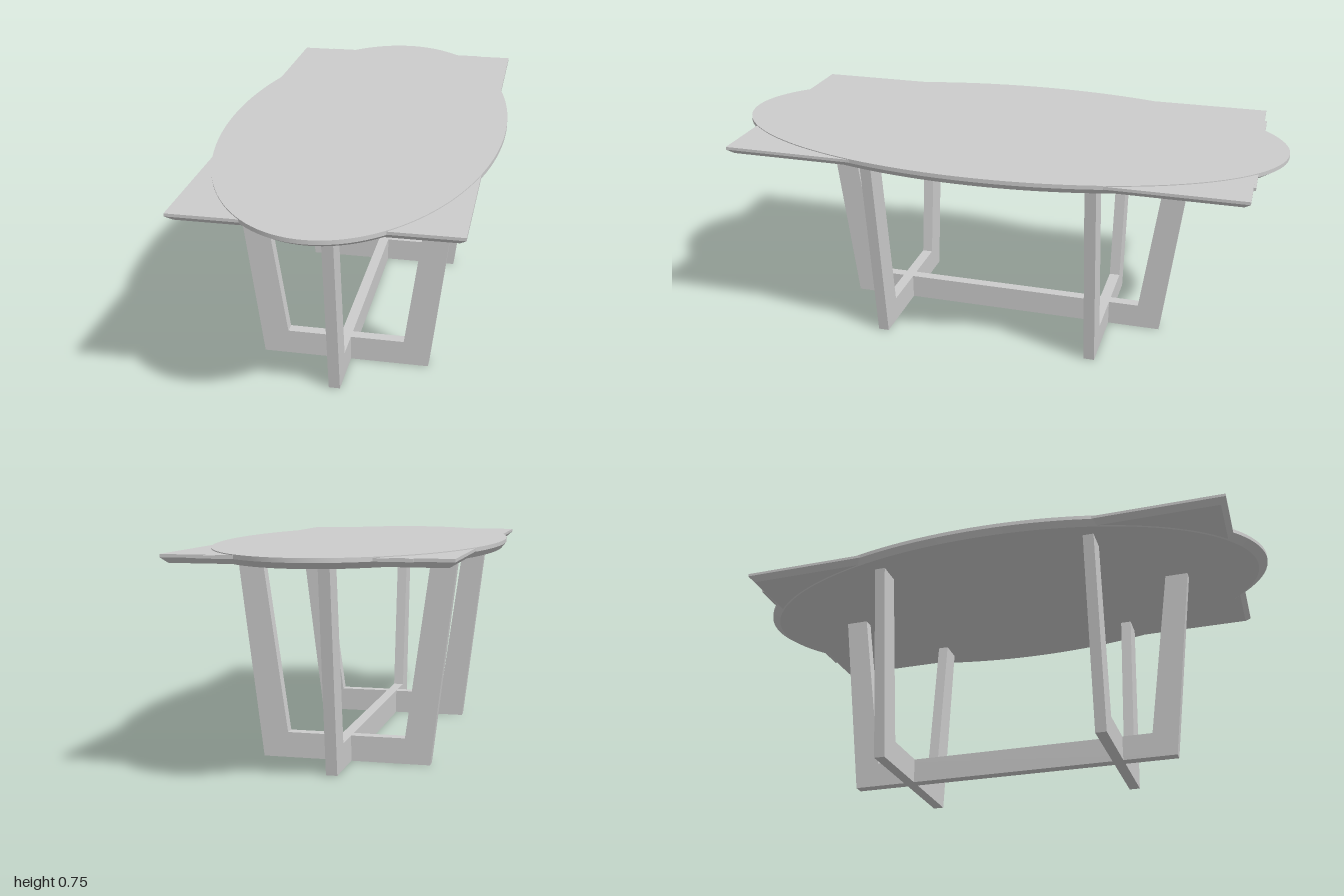
import * as THREE from 'three';
import { toCreasedNormals } from 'three/addons/utils/BufferGeometryUtils.js';

const material = new THREE.MeshStandardMaterial({ color: 0xcccccc });

function addMesh(parent, name, geometry) {
  const mesh = new THREE.Mesh(geometry, material);
  mesh.name = name;
  parent.add(mesh);
  return mesh;
}

// Open trapezoid frame: two splayed legs joined by a floor rail, centred on its thickness
function frameGeometry(foot, head, width, thickness) {
  const top = 0.72, rail = 0.09;
  const shape = new THREE.Shape([
    [-foot, 0], [foot, 0], [head, top], [head - width, top],
    [foot - width, rail], [width - foot, rail], [width - head, top], [-head, top],
  ].map(([x, y]) => new THREE.Vector2(x, y)));
  return new THREE.ExtrudeGeometry(shape, { depth: thickness, bevelEnabled: false })
    .translate(0, 0, -thickness / 2);
}

// Oval slab with an undercut edge
function ovalTopGeometry() {
  const profile = [[0, 0.716], [0.967, 0.716], [1, 0.736], [1, 0.75], [0, 0.75]]
    .map(([r, y]) => new THREE.Vector2(r, y));
  const geometry = new THREE.LatheGeometry(profile, 128).scale(0.5, 1, 1);
  return toCreasedNormals(geometry, 0.4);
}

// Rectangular slab whose lower edge is drawn inwards
function leafGeometry() {
  const geometry = new THREE.BoxGeometry(0.9, 0.028, 1.796, 1, 2, 1);
  const p = geometry.attributes.position;
  for (let i = 0; i < p.count; i++) {
    if (p.getY(i) < -0.01) {
      p.setX(i, p.getX(i) - Math.sign(p.getX(i)) * 0.02);
      p.setZ(i, p.getZ(i) - Math.sign(p.getZ(i)) * 0.02);
    } else if (p.getY(i) < 0.01) p.setY(i, 0.004);
  }
  geometry.translate(0, 0.733, 0);
  return toCreasedNormals(geometry, 0.4);
}

export function createModel() {
  const model = new THREE.Group();
  model.name = 'diningTable';

  // Table top
  addMesh(model, 'ovalTop', ovalTopGeometry());
  addMesh(model, 'rectangularLeaf', leafGeometry());
  for (const side of [-1, 1]) {
    const lip = addMesh(model, 'backLip', new THREE.BoxGeometry(0.13, 0.01, 0.03));
    lip.position.set(side * 0.265, 0.741, -0.891);
  }

  // Base: one long frame crossed by two short ones
  const base = new THREE.Group();
  base.name = 'base';
  base.position.set(-0.003, 0, 0.013);
  model.add(base);
  addMesh(base, 'longFrame', frameGeometry(0.608, 0.694, 0.083, 0.039)).rotation.y = Math.PI / 2;
  for (const z of [-0.395, 0.397]) {
    addMesh(base, 'crossFrame', frameGeometry(0.297, 0.385, 0.088, 0.039)).position.z = z;
  }
  return model;
}
